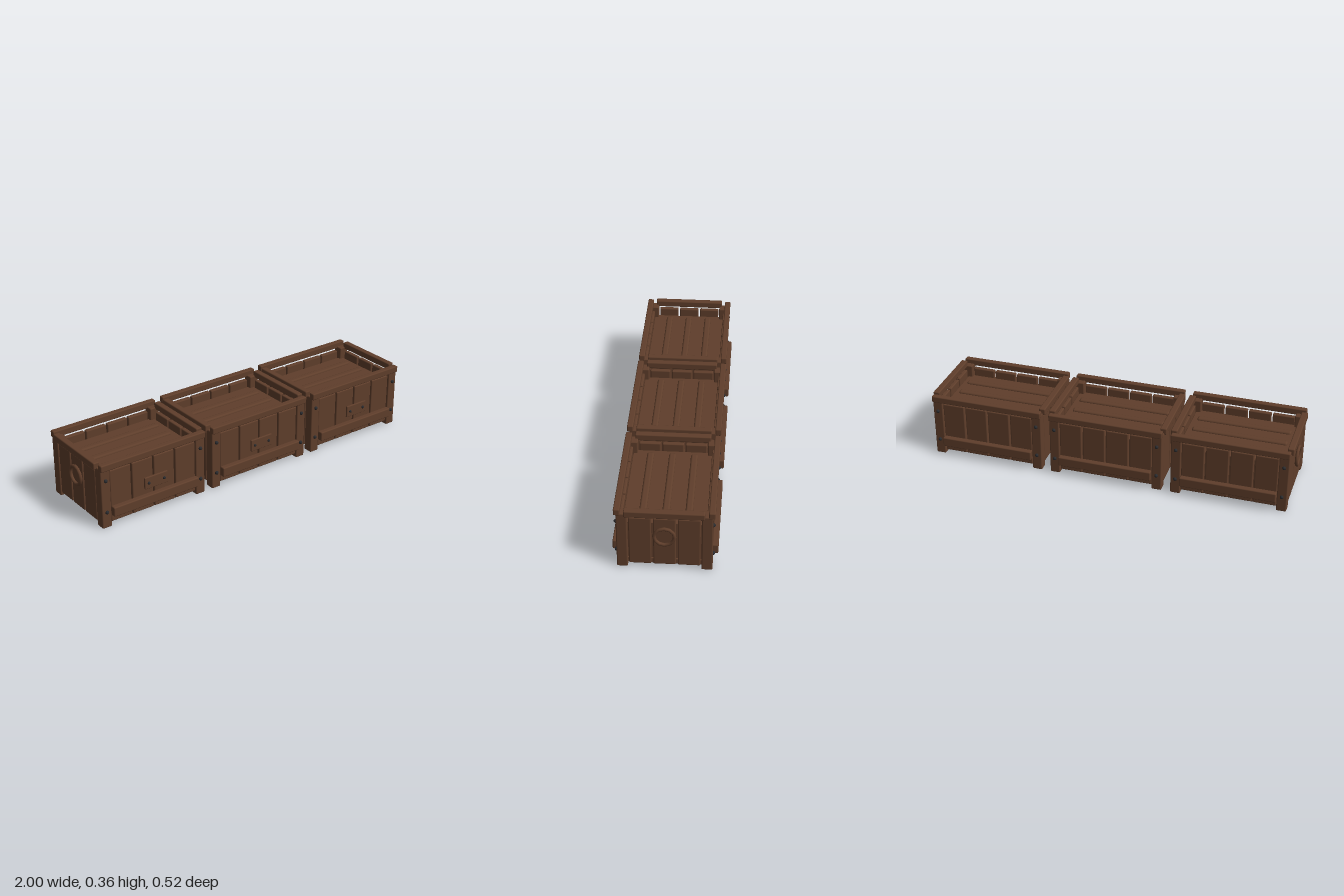
import * as THREE from 'three';
import { RoundedBoxGeometry } from 'three/addons/geometries/RoundedBoxGeometry.js';

const wood = new THREE.MeshStandardMaterial({ color: 0x5f3e2b });
wood.name = 'brown wood';
const iron = new THREE.MeshStandardMaterial({ color: 0x2a2b2e });
iron.name = 'dark iron';

function add(parent, name, geometry, material, x, y, z) {
  const mesh = new THREE.Mesh(geometry, material);
  mesh.name = name;
  mesh.position.set(x, y, z);
  parent.add(mesh);
  return mesh;
}

// Softly rounded timber, size w x h x d
const timber = (w, h, d, r = 0.006) => new RoundedBoxGeometry(w, h, d, 2, r);

function createCrate() {
  const crate = new THREE.Group();

  // Base board, filling and the raised rows on top of it
  add(crate, 'baseBoard', timber(0.58, 0.034, 0.42), wood, 0, 0.03, 0);
  add(crate, 'filling', timber(0.57, 0.225, 0.41, 0.004), wood, 0, 0.157, 0);
  for (const z of [-0.113, 0, 0.113]) {
    add(crate, 'raisedRow', timber(0.515, 0.026, 0.037, 0.011), wood, 0, 0.268, z);
  }

  const longPlank = timber(0.122, 0.289, 0.025);
  const endPlank = timber(0.025, 0.289, 0.11);
  const longRail = timber(0.626, 0.037, 0.032);
  const endRail = timber(0.035, 0.037, 0.392);
  const batten = timber(0.515, 0.053, 0.032);
  const post = timber(0.054, 0.334, 0.054);
  const bolt = new THREE.SphereGeometry(0.01, 10, 8);
  const ring = new THREE.TorusGeometry(0.05, 0.009, 8, 12);

  for (const s of [-1, 1]) {
    // Long side: four planks, top rail and lower batten
    for (let i = 0; i < 4; i++) {
      add(crate, 'sidePlank', longPlank, wood, (i - 1.5) * 0.13, 0.1695, s * 0.2165);
    }
    add(crate, 'topRail', longRail, wood, 0, 0.344, s * 0.23);
    add(crate, 'lowerBatten', batten, wood, 0, 0.0915, s * 0.245);

    // Short end: three planks, top rail and ring handle
    for (let i = -1; i <= 1; i++) {
      add(crate, 'endPlank', endPlank, wood, s * 0.297, 0.1695, i * 0.12);
    }
    add(crate, 'endRail', endRail, wood, s * 0.3075, 0.344, 0);
    add(crate, 'ringHandle', ring, wood, s * 0.318, 0.21, 0).rotation.y = Math.PI / 2;

    // Corner posts with two bolts each
    for (const x of [-0.285, 0.285]) {
      add(crate, 'cornerPost', post, wood, x, 0.17, s * 0.208);
      for (const y of [0.092, 0.27]) {
        add(crate, 'postBolt', bolt, iron, x, y, s * 0.237);
      }
    }

    // Front plate bolts
    add(crate, 'plateBolt', bolt, iron, s * 0.046, 0.187, 0.256).scale.setScalar(0.8);
  }

  // Front plate
  add(crate, 'frontPlate', timber(0.138, 0.066, 0.012, 0.004), wood, 0, 0.187, 0.249);
  return crate;
}

export function createModel() {
  const model = new THREE.Group();
  model.name = 'crateRow';
  ['rightCrate', 'middleCrate', 'leftCrate'].forEach((name, i) => {
    const crate = createCrate();
    crate.name = name;
    crate.position.x = (i - 1) * 0.673;
    model.add(crate);
  });
  return model;
}
